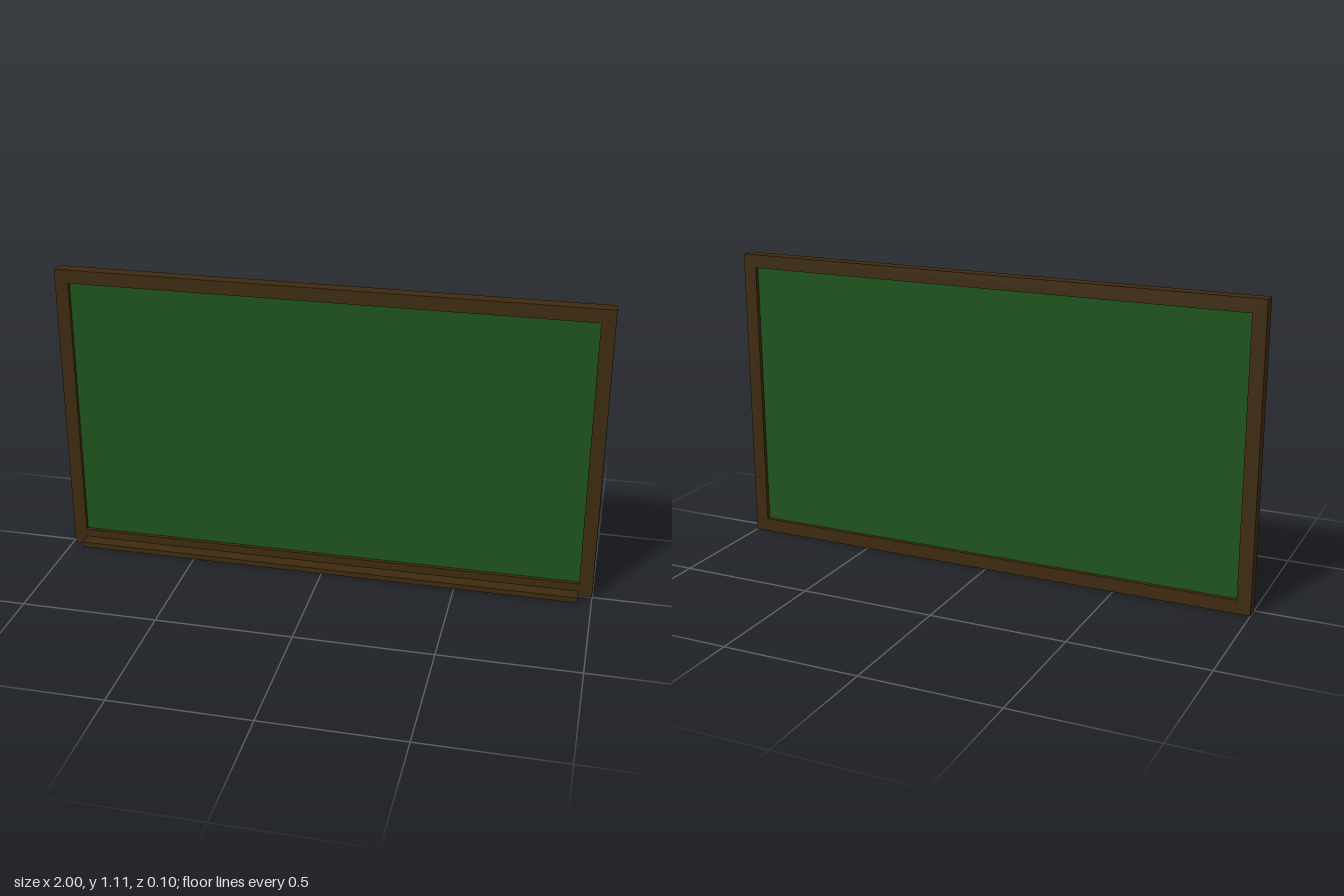
import * as THREE from 'three';

const WIDTH = 2, HEIGHT = 1.105, DEPTH = 0.05, BORDER = 0.05;

function rectangle(PathType, x0, y0, x1, y1) {
  const path = new PathType();
  path.moveTo(x0, y0);
  path.lineTo(x1, y0);
  path.lineTo(x1, y1);
  path.lineTo(x0, y1);
  path.closePath();
  return path;
}

export function createModel() {
  const model = new THREE.Group();
  model.name = 'chalkboard';
  const wood = new THREE.MeshStandardMaterial({ color: 0x3d2a0f });
  const green = new THREE.MeshStandardMaterial({ color: 0x1d521b });

  const add = (name, geometry, material, x, y, z) => {
    const mesh = new THREE.Mesh(geometry, material);
    mesh.name = name;
    mesh.position.set(x, y, z);
    model.add(mesh);
  };

  // Rectangular wooden surround, open in the middle
  const outline = rectangle(THREE.Shape, -WIDTH / 2, 0, WIDTH / 2, HEIGHT);
  outline.holes.push(rectangle(THREE.Path,
    -WIDTH / 2 + BORDER, BORDER, WIDTH / 2 - BORDER, HEIGHT - BORDER));
  add('frame', new THREE.ExtrudeGeometry(outline, { depth: DEPTH, bevelEnabled: false }),
    wood, 0, 0, -DEPTH);

  // Writing panel, recessed on both sides
  add('writingPanel',
    new THREE.BoxGeometry(WIDTH - 2 * BORDER, HEIGHT - 2 * BORDER, 0.02),
    green, 0, HEIGHT / 2, -DEPTH / 2);

  // Chalk ledge along the bottom of the front
  add('chalkLedge', new THREE.BoxGeometry(WIDTH - 2 * BORDER, 0.02, 0.05),
    wood, 0, 0.01, 0.025);

  return model;
}
